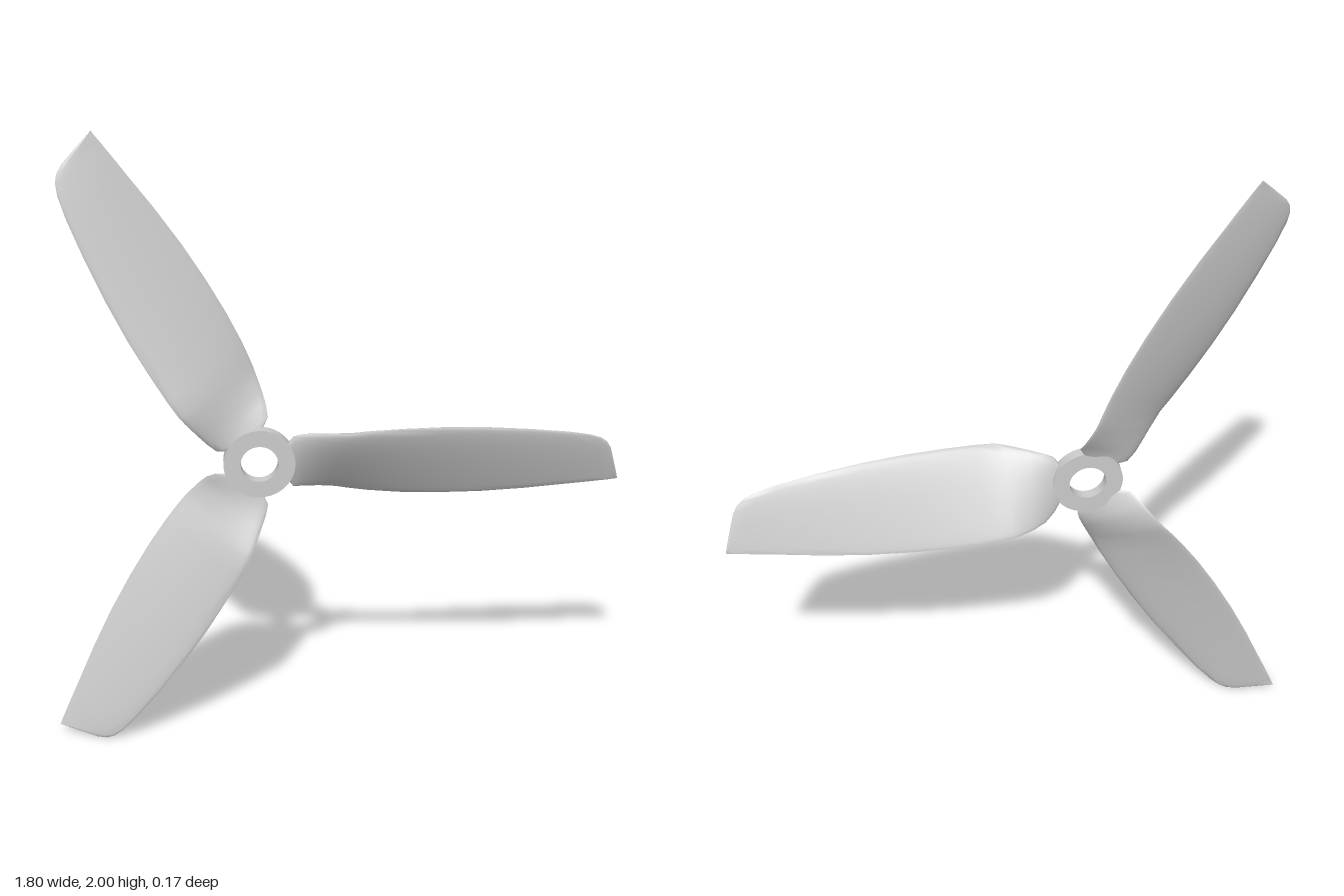
import * as THREE from 'three';
import { toCreasedNormals } from 'three/addons/utils/BufferGeometryUtils.js';

const material = new THREE.MeshStandardMaterial({ color: 0xcccccc, side: THREE.DoubleSide });

// Blade stations: radius, leading edge (v, z), trailing edge (v, z), thickness
const STATIONS = [
  [0.08, 0.055, 0.018, -0.055, -0.004, 0.018],
  [0.106, 0.09, 0.024, -0.095, -0.018, 0.022],
  [0.14, 0.1, 0.034, -0.108, -0.05, 0.028],
  [0.18, 0.106, 0.05, -0.117, -0.07, 0.03],
  [0.22, 0.111, 0.066, -0.124, -0.083, 0.031],
  [0.25, 0.115, 0.076, -0.13, -0.087, 0.031],
  [0.28, 0.118, 0.084, -0.135, -0.086, 0.03],
  [0.34, 0.122, 0.081, -0.143, -0.083, 0.029],
  [0.44, 0.124, 0.074, -0.151, -0.078, 0.027],
  [0.56, 0.123, 0.065, -0.154, -0.073, 0.025],
  [0.7, 0.115, 0.053, -0.151, -0.066, 0.022],
  [0.84, 0.1, 0.04, -0.141, -0.058, 0.019],
  [0.96, 0.083, 0.028, -0.128, -0.05, 0.016],
  [1.03, 0.068, 0.019, -0.121, -0.046, 0.014],
  [1.065, 0.054, 0.012, -0.117, -0.044, 0.012],
  [1.085, 0.038, 0.006, -0.115, -0.043, 0.01],
  [1.1, 0.012, -0.003, -0.113, -0.042, 0.008],
  [1.11, -0.022, -0.013, -0.112, -0.041, 0.006],
  [1.123, -0.067, -0.027, -0.11, -0.041, 0.004],
  [1.134, -0.107, -0.04, -0.109, -0.041, 0.002],
];

// Skin of airfoil sections: round leading edge, sharp trailing edge
function bladeGeometry() {
  const N = 32, pos = [], index = [];
  for (const [u, vA, zA, vB, zB, thick] of STATIONS) {
    const dv = vB - vA, dz = zB - zA, len = Math.hypot(dv, dz);
    for (let i = 0; i < N; i++) {
      const a = (i / N) * Math.PI * 2;
      const t = (1 - Math.cos(a)) / 2;
      const h = Math.sin(a) * (1 - 0.55 * t) * thick * 0.7;
      pos.push(u, vA + dv * t - (dz / len) * h, zA + dz * t + (dv / len) * h);
    }
  }
  const last = STATIONS.length - 1;
  for (let s = 0; s < last; s++) {
    for (let i = 0; i < N; i++) {
      const a = s * N + i, b = s * N + ((i + 1) % N);
      index.push(a, b, a + N, b, b + N, a + N);
    }
  }
  // Close the root and the tip
  for (let i = 1; i < N - 1; i++) {
    index.push(0, i + 1, i, last * N, last * N + i, last * N + i + 1);
  }
  // Make the winding face outward
  for (let i = 0; i < index.length; i += 3) {
    [index[i + 1], index[i + 2]] = [index[i + 2], index[i + 1]];
  }
  const g = new THREE.BufferGeometry();
  g.setAttribute('position', new THREE.Float32BufferAttribute(pos, 3));
  g.setIndex(index);
  const outward = signedVolume(pos, index) > 0;
  if (!outward) g.setIndex(index.reverse());
  return toCreasedNormals(g, 0.9);
}

function signedVolume(pos, index) {
  const p = (i) => new THREE.Vector3().fromArray(pos, i * 3);
  let sum = 0;
  for (let i = 0; i < index.length; i += 3) {
    sum += p(index[i]).dot(p(index[i + 1]).cross(p(index[i + 2])));
  }
  return sum;
}

export function createModel() {
  const model = new THREE.Group();
  model.name = 'propeller';

  // Flat ring hub with a shaft hole
  const [inner, outer, back, front] = [0.058, 0.111, -0.01, 0.026];
  const profile = [[inner, back], [outer, back], [outer, front], [inner, front], [inner, back]]
    .map(([r, y]) => new THREE.Vector2(r, y));
  const ring = toCreasedNormals(new THREE.LatheGeometry(profile, 64), 0.6);
  ring.rotateX(Math.PI / 2);
  const hub = new THREE.Mesh(ring, material);
  hub.name = 'hub';
  model.add(hub);

  // Three twisted blades
  const geometry = bladeGeometry();
  for (let i = 0; i < 3; i++) {
    const blade = new THREE.Mesh(geometry, material);
    blade.name = `blade${i + 1}`;
    blade.rotation.z = (i * Math.PI * 2) / 3;
    model.add(blade);
  }

  model.position.set(-0.24, 0.967, 0);
  const root = new THREE.Group();
  root.name = 'threeBladePropeller';
  root.add(model);
  return root;
}
